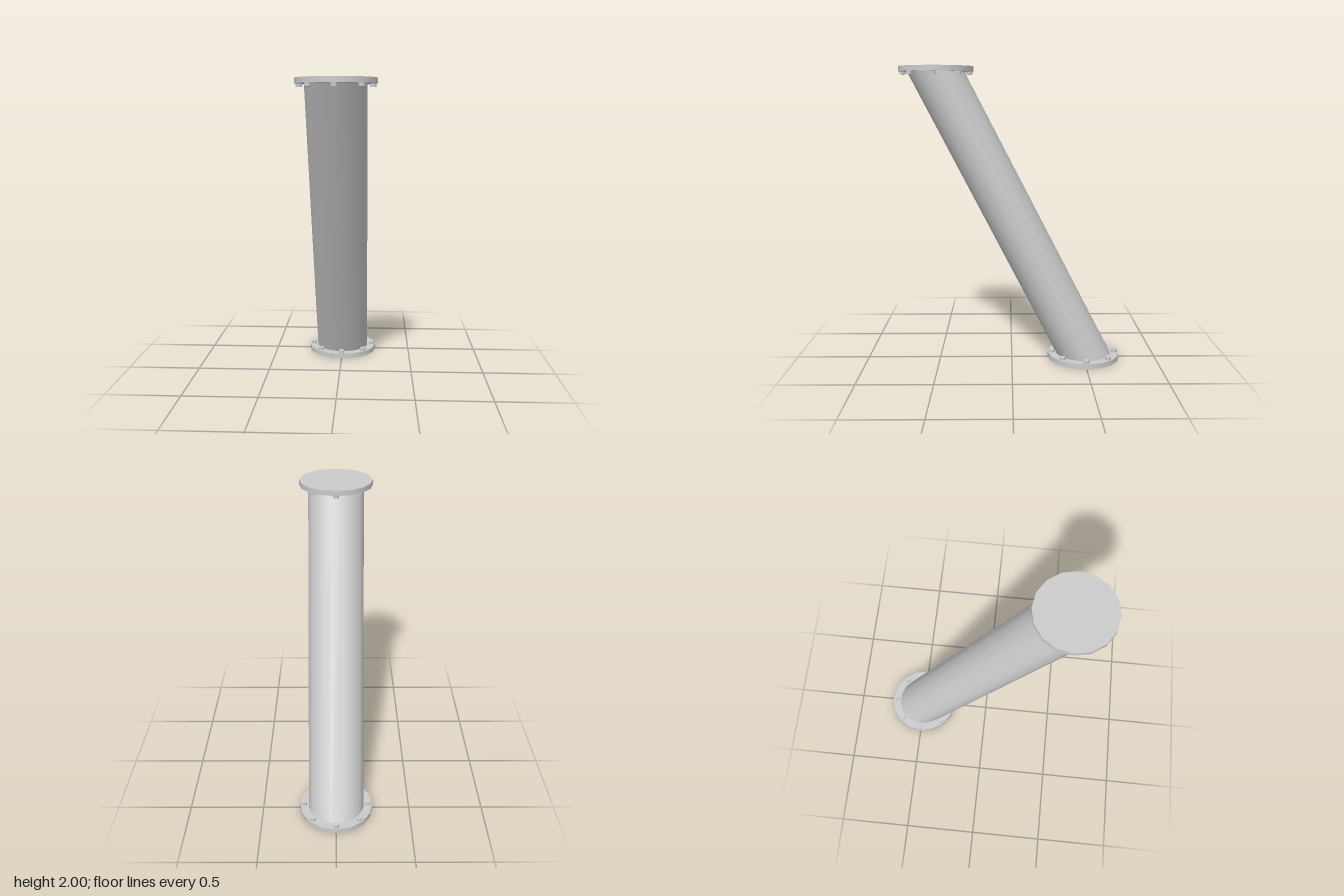
import * as THREE from 'three';

const material = new THREE.MeshStandardMaterial({ color: 0xcccccc });
const FLANGE_RADIUS = 0.248, FLANGE_HEIGHT = 0.034;
const BOLT_CIRCLE = 0.22, BOLT_RADIUS = 0.02, BOLT_HEIGHT = 0.02, BOLT_COUNT = 8;
const PIPE_RADIUS = 0.19, OFFSET = 0.5;

function part(geometry, name, x, y, z) {
  const mesh = new THREE.Mesh(geometry, material);
  mesh.name = name;
  mesh.position.set(x, y, z);
  return mesh;
}

// End plate with a ring of bolt heads on its pipe side (inward = +1 up, -1 down)
function makeFlange(name, y, z, inward) {
  const flange = new THREE.Group();
  flange.name = name;
  flange.position.set(0, y, z);
  flange.add(part(new THREE.CylinderGeometry(FLANGE_RADIUS, FLANGE_RADIUS, FLANGE_HEIGHT, 16), 'plate', 0, 0, 0));
  const boltGeometry = new THREE.CylinderGeometry(BOLT_RADIUS, BOLT_RADIUS, BOLT_HEIGHT, 10);
  const boltY = inward * (FLANGE_HEIGHT + BOLT_HEIGHT) / 2;
  for (let i = 0; i < BOLT_COUNT; i++) {
    const a = (i / BOLT_COUNT) * Math.PI * 2;
    flange.add(part(boltGeometry, 'bolt', BOLT_CIRCLE * Math.sin(a), boltY, BOLT_CIRCLE * Math.cos(a)));
  }
  return flange;
}

export function createModel() {
  const model = new THREE.Group();
  model.name = 'slantedFlangedPipe';

  // Pipe: upright cylinder sheared along z, so its ends stay level
  const length = 2 - 2 * FLANGE_HEIGHT;
  const pipe = new THREE.CylinderGeometry(PIPE_RADIUS, PIPE_RADIUS, length, 16);
  pipe.rotateY(Math.PI / 16);
  const slope = (2 * OFFSET) / length;
  pipe.applyMatrix4(new THREE.Matrix4().set(
    1, 0, 0, 0,
    0, 1, 0, 0,
    0, slope, 1, 0,
    0, 0, 0, 1));
  model.add(part(pipe, 'pipe', 0, 1, 0));

  // Flanges at both ends
  model.add(makeFlange('bottomFlange', FLANGE_HEIGHT / 2, -OFFSET, 1));
  model.add(makeFlange('topFlange', 2 - FLANGE_HEIGHT / 2, OFFSET, -1));
  return model;
}
